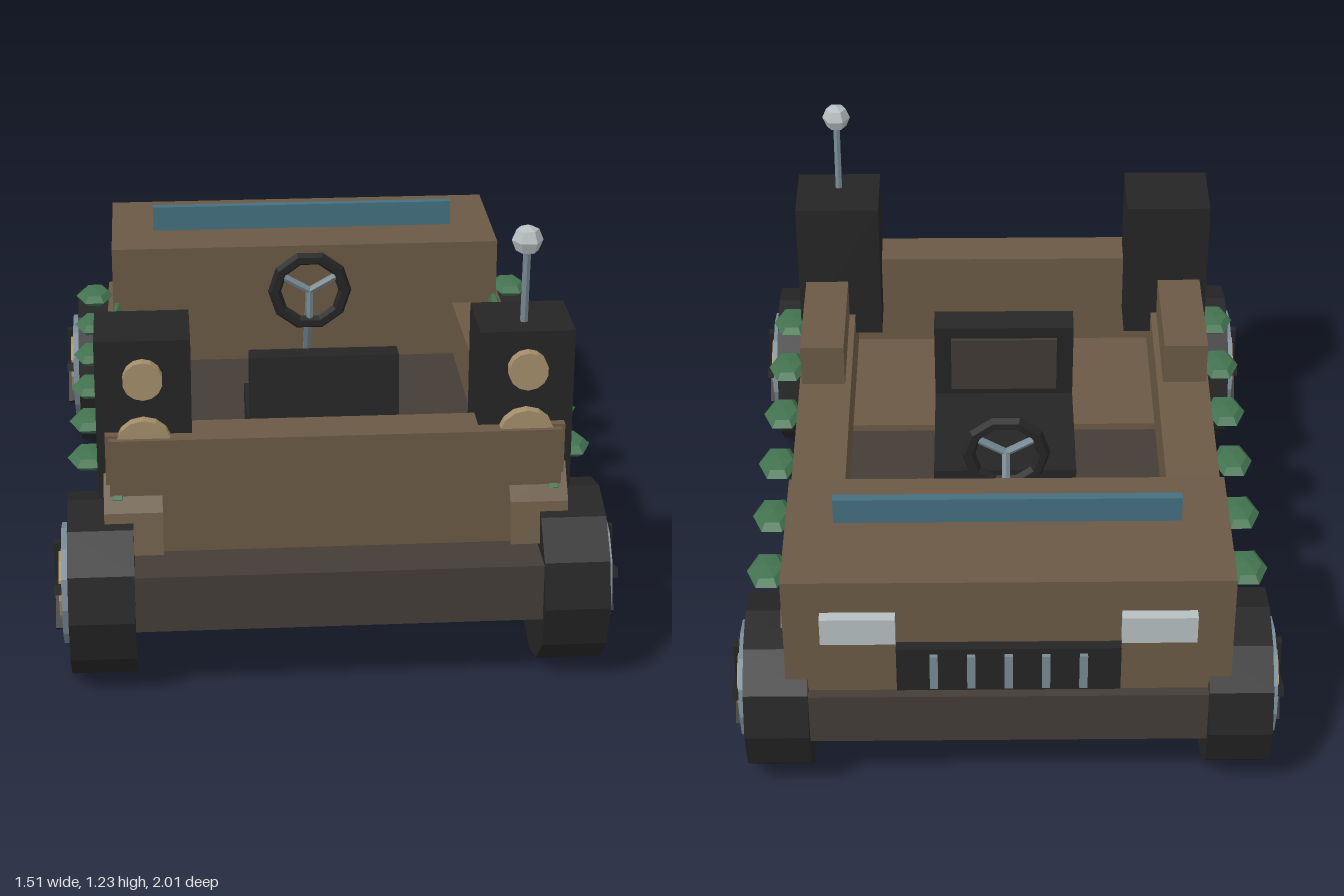
import * as THREE from 'three';

export function createModel() {
  const model = new THREE.Group();
  model.name = 'openBuggy';

  const mat = (name, color) => {
    const m = new THREE.MeshStandardMaterial({ color, flatShading: true });
    m.name = name;
    return m;
  };
  const brown = mat('brown paint', 0x6a5944);
  const dark = mat('dark chassis', 0x433c37);
  const black = mat('black rubber', 0x252525);
  const tan = mat('tan', 0xa48e6a);
  const green = mat('green leaf', 0x437350);
  const glass = mat('blue glass', 0x446f80);
  const steel = mat('blue grey metal', 0x778993);
  const lamp = mat('pale lamp', 0xb6bfc0);

  const add = (name, geo, material, parent = model) => {
    const m = new THREE.Mesh(geo, material);
    m.name = name;
    parent.add(m);
    return m;
  };
  // Box given by its lower and upper limits on each axis
  const box = (name, material, x0, x1, y0, y1, z0, z1, parent) => {
    const m = add(name, new THREE.BoxGeometry(x1 - x0, y1 - y0, z1 - z0), material, parent);
    m.position.set((x0 + x1) / 2, (y0 + y1) / 2, (z0 + z1) / 2);
    return m;
  };
  // Straight rod between two points
  const rod = (name, material, a, b, r, parent) => {
    const p = new THREE.Vector3(...a), q = new THREE.Vector3(...b);
    const m = add(name, new THREE.CylinderGeometry(r, r, p.distanceTo(q), 6), material, parent);
    m.position.copy(p).add(q).multiplyScalar(0.5);
    m.quaternion.setFromUnitVectors(new THREE.Vector3(0, 1, 0), q.sub(p).normalize());
    return m;
  };

  // Body
  box('chassis', dark, -0.6, 0.6, 0.2, 0.36, -0.97, 0.97);
  box('hood', brown, -0.6, 0.6, 0.36, 0.735, -0.94, -0.495);
  box('windshield', glass, -0.47, 0.47, 0.73, 0.812, -0.687, -0.662);
  box('rearDeck', brown, -0.48, 0.48, 0.35, 0.382, 0.23, 0.75);
  box('rearPanel', brown, -0.6, 0.6, 0.36, 0.685, 0.695, 0.82);

  // Grille and headlamps
  box('grille', black, -0.3, 0.3, 0.385, 0.53, -0.97, -0.93);
  for (let i = -2; i <= 2; i++)
    box('grilleSlat', steel, i * 0.1 - 0.011, i * 0.1 + 0.011, 0.4, 0.512, -0.982, -0.96);

  // Side panel outline, drawn as (z, y)
  const outline = [[0.88, 0.38], [0.85, 0.49], [0.78, 0.575], [0.2, 0.56], [-0.4, 0.535],
    [-0.77, 0.525], [-0.83, 0.46], [-0.83, 0.38]];
  const panelShape = new THREE.Shape(outline.map(([z, y]) => new THREE.Vector2(-z, y)));
  const panelGeo = new THREE.ExtrudeGeometry(panelShape, { depth: 0.155, bevelEnabled: false });
  panelGeo.rotateY(Math.PI / 2).translate(0.462, 0, 0);

  const tyreGeo = new THREE.CylinderGeometry(0.245, 0.245, 0.175, 12).rotateZ(Math.PI / 2);
  const rimGeo = new THREE.CylinderGeometry(0.163, 0.163, 0.04, 12).rotateZ(Math.PI / 2);
  const hubGeo = new THREE.CylinderGeometry(0.105, 0.105, 0.04, 12).rotateZ(Math.PI / 2);
  const leafGeo = new THREE.SphereGeometry(1, 6, 4);

  for (const s of [-1, 1]) {
    // Mirrored box helper for this side
    const sideBox = (name, material, x0, x1, ...rest) =>
      box(name, material, Math.min(s * x0, s * x1), Math.max(s * x0, s * x1), ...rest);

    const panel = add('sidePanel', panelGeo, brown);
    if (s < 0) panel.position.x = -(0.462 * 2 + 0.155);
    sideBox('sideBox', brown, 0.48, 0.61, 0.3, 0.692, 0.2, 0.8);
    sideBox('headlamp', lamp, 0.3, 0.5, 0.55, 0.635, -0.972, -0.93);

    // Loudspeaker with two cones
    sideBox('speaker', black, 0.38, 0.632, 0.5, 0.95, 0.56, 0.775);
    for (const [y, r] of [[0.847, 0.053], [0.66, 0.076]]) {
      const cone = add('speakerCone', new THREE.CylinderGeometry(r, r, 0.05, 14).rotateX(Math.PI / 2), tan);
      cone.position.set(s * 0.507, y, 0.781);
    }

    // Wheels
    for (const z of [-0.76, 0.76]) {
      const wheel = new THREE.Group();
      wheel.name = 'wheel';
      wheel.position.set(s * 0.628, 0.245, z);
      model.add(wheel);
      add('tyre', tyreGeo, black, wheel);
      add('rim', rimGeo, steel, wheel).position.x = s * 0.087;
      add('hub', hubGeo, tan, wheel).position.x = s * 0.096;
      for (let i = 0; i < 5; i++) {
        const spoke = add('spoke', new THREE.BoxGeometry(0.022, 0.125, 0.026).translate(0, 0.0625, 0), black, wheel);
        spoke.position.x = s * 0.117;
        spoke.rotation.x = (i * Math.PI * 2) / 5;
      }
    }

    // Leaf garland along the side
    const leaf = (x, y, z, sx, sy, sz) => {
      const m = add('leaf', leafGeo, green);
      m.position.set(s * x, y, z);
      m.scale.set(sx, sy, sz);
    };
    for (let i = 0; i < 6; i++) leaf(0.66, 0.53, -0.64 + i * 0.243, 0.058, 0.023, 0.084);
    leaf(0.587, 0.535, -0.375, 0.018, 0.05, 0.15);
    leaf(0.58, 0.52, 0.77, 0.026, 0.022, 0.07);
  }

  // Antenna
  rod('antennaRod', steel, [0.505, 0.94, 0.7], [0.505, 1.17, 0.718], 0.011);
  add('antennaTip', new THREE.SphereGeometry(0.042, 6, 4), lamp).position.set(0.505, 1.185, 0.718);

  // Seat facing the steering wheel
  box('seatCushion', black, -0.21, 0.21, 0.36, 0.45, -0.09, 0.36);
  const back = new THREE.Group();
  back.name = 'seatBack';
  back.position.set(0, 0.4, 0.345);
  back.rotation.x = -0.1;
  model.add(back);
  box('backrest', black, -0.21, 0.21, 0, 0.315, -0.04, 0.04, back);
  box('backrestPad', dark, -0.16, 0.16, 0.08, 0.275, -0.049, -0.039, back);

  // Steering wheel and column
  const steering = new THREE.Group();
  steering.name = 'steeringWheel';
  steering.position.set(0, 0.667, -0.287);
  model.add(steering);
  add('wheelRing', new THREE.TorusGeometry(0.107, 0.02, 6, 10), black, steering);
  for (let i = 0; i < 3; i++) {
    const a = -Math.PI / 2 + (i * Math.PI * 2) / 3;
    rod('wheelSpoke', steel, [0, 0, 0], [Math.cos(a) * 0.1, Math.sin(a) * 0.1, 0], 0.011, steering);
  }
  rod('steeringColumn', steel, [0, 0.667, -0.287], [0, 0.35, -0.475], 0.013);

  return model;
}
